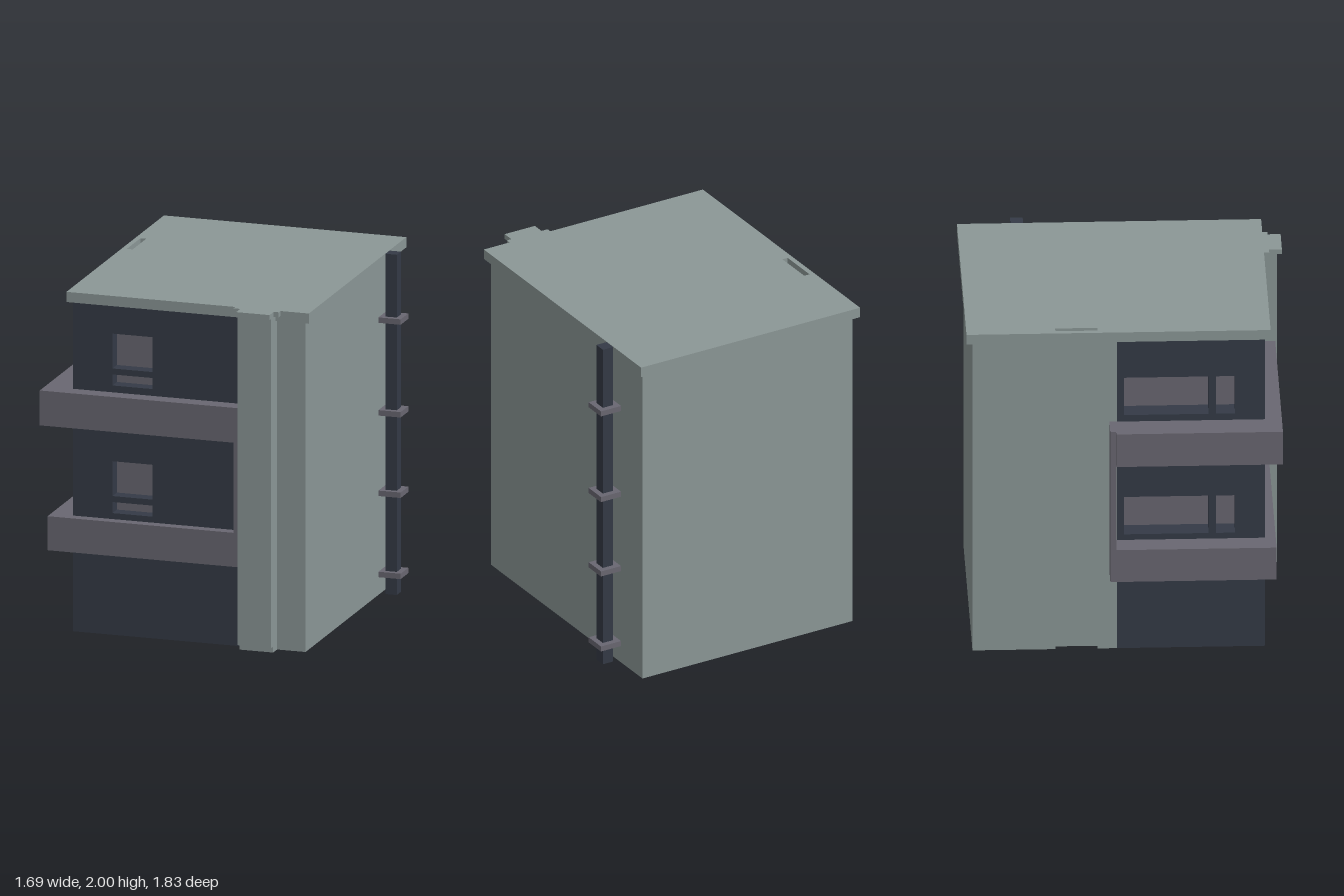
import * as THREE from 'three';

const stone = new THREE.MeshStandardMaterial({ name: 'greyGreenStone', color: 0x8b9796 });
const dark = new THREE.MeshStandardMaterial({ name: 'darkSlate', color: 0x343a46 });
const mauve = new THREE.MeshStandardMaterial({ name: 'mauveGrey', color: 0x696771 });

export function createModel() {
  const model = new THREE.Group();
  model.name = 'building';

  const add = (name, geometry, material) => {
    const mesh = new THREE.Mesh(geometry, material);
    mesh.name = name;
    model.add(mesh);
    return mesh;
  };
  // Box given by its limits on each axis
  const box = (name, material, x0, x1, y0, y1, z0, z1) => {
    const g = new THREE.BoxGeometry(x1 - x0, y1 - y0, z1 - z0);
    g.translate((x0 + x1) / 2, (y0 + y1) / 2, (z0 + z1) / 2);
    return add(name, g, material);
  };
  const rect = (Type, a0, a1, b0, b1) => {
    const p = new Type();
    p.moveTo(a0, b0);
    p.lineTo(a1, b0);
    p.lineTo(a1, b1);
    p.lineTo(a0, b1);
    p.closePath();
    return p;
  };
  const extrude = (shape, depth) => new THREE.ExtrudeGeometry(shape, { depth, bevelEnabled: false });

  // Main block: L-shaped plan with a vertical groove in the left wall
  const plan = [[-0.68, -0.88], [0.71, -0.88], [0.71, 0.78], [0.34, 0.78], [0.34, -0.06],
    [-0.68, -0.06], [-0.68, -0.17], [-0.645, -0.17], [-0.645, -0.41], [-0.68, -0.41]];
  const planShape = new THREE.Shape(plan.map(([x, z]) => new THREE.Vector2(x, -z)));
  add('mainBlock', extrude(planShape, 1.94).rotateX(-Math.PI / 2), stone);

  // Front pilaster with a set-back foot
  box('pilaster', stone, 0.34, 0.54, 0.035, 1.97, 0.78, 0.885);
  box('pilasterFoot', stone, 0.34, 0.54, 0, 0.035, 0.78, 0.85);

  // Roof slab, slotted above the groove, with stepped caps over the pilaster
  const roof = rect(THREE.Shape, -0.71, 0.74, -0.81, 0.915);
  roof.holes.push(rect(THREE.Path, -0.68, -0.645, 0.17, 0.41));
  add('roof', extrude(roof, 0.06).rotateX(-Math.PI / 2).translate(0, 1.94, 0), stone);
  box('roofStep', stone, 0.30, 0.57, 1.97, 2, 0.81, 0.84);
  box('pilasterCap', stone, 0.34, 0.54, 1.97, 2, 0.84, 0.913);

  // Corner bay: dark walls with window openings over a mauve core
  const floors = [0, 0.75];
  const frontWall = rect(THREE.Shape, -0.68, 0.34, 0, 1.94);
  const sideWall = rect(THREE.Shape, -0.06, 0.70, 0, 1.94);
  for (const y of floors) {
    frontWall.holes.push(
      rect(THREE.Path, -0.445, -0.205, y + 0.815, y + 1.02),
      rect(THREE.Path, -0.445, -0.205, y + 0.715, y + 0.78));
    sideWall.holes.push(
      rect(THREE.Path, -0.02, 0.46, y + 0.715, y + 0.95),
      rect(THREE.Path, 0.50, 0.61, y + 0.715, y + 0.95));
  }
  add('bayFrontWall', extrude(frontWall, 0.08).translate(0, 0, 0.70), dark);
  add('baySideWall', extrude(sideWall, 0.12).rotateY(-Math.PI / 2).translate(-0.56, 0, 0), dark);
  box('bayFloor', dark, -0.56, 0.34, 0, 0.03, -0.06, 0.70);
  box('windowBacking', mauve, -0.56, 0.34, 0.03, 1.94, -0.06, 0.70);

  // Wrap-around bands, each from a front and a side piece
  const band = (name, y0, y1, out, z0) => {
    box(name + 'Front', mauve, -out, 0.34, y0, y1, 0.78, out + 0.027);
    box(name + 'Side', mauve, -out, -0.68, y0, y1, z0, 0.78);
  };
  band('lowerBand', 0.48, 0.68, 0.813, -0.07);
  band('upperBand', 1.22, 1.425, 0.848, -0.07);

  // Upright ends joining the two bands
  box('bandEndSide', mauve, -0.813, -0.68, 0.48, 1.425, -0.103, -0.068);
  box('bandEndFront', mauve, 0.30, 0.34, 0.68, 1.22, 0.78, 0.84);

  // Drainpipe and its brackets on the right wall
  box('drainpipe', dark, 0.742, 0.81, 0, 2, -0.612, -0.54);
  for (const y of [0.12, 0.597, 1.07, 1.615]) {
    box('pipeBracket', mauve, 0.708, 0.843, y - 0.016, y + 0.016, -0.645, -0.51);
  }
  return model;
}
